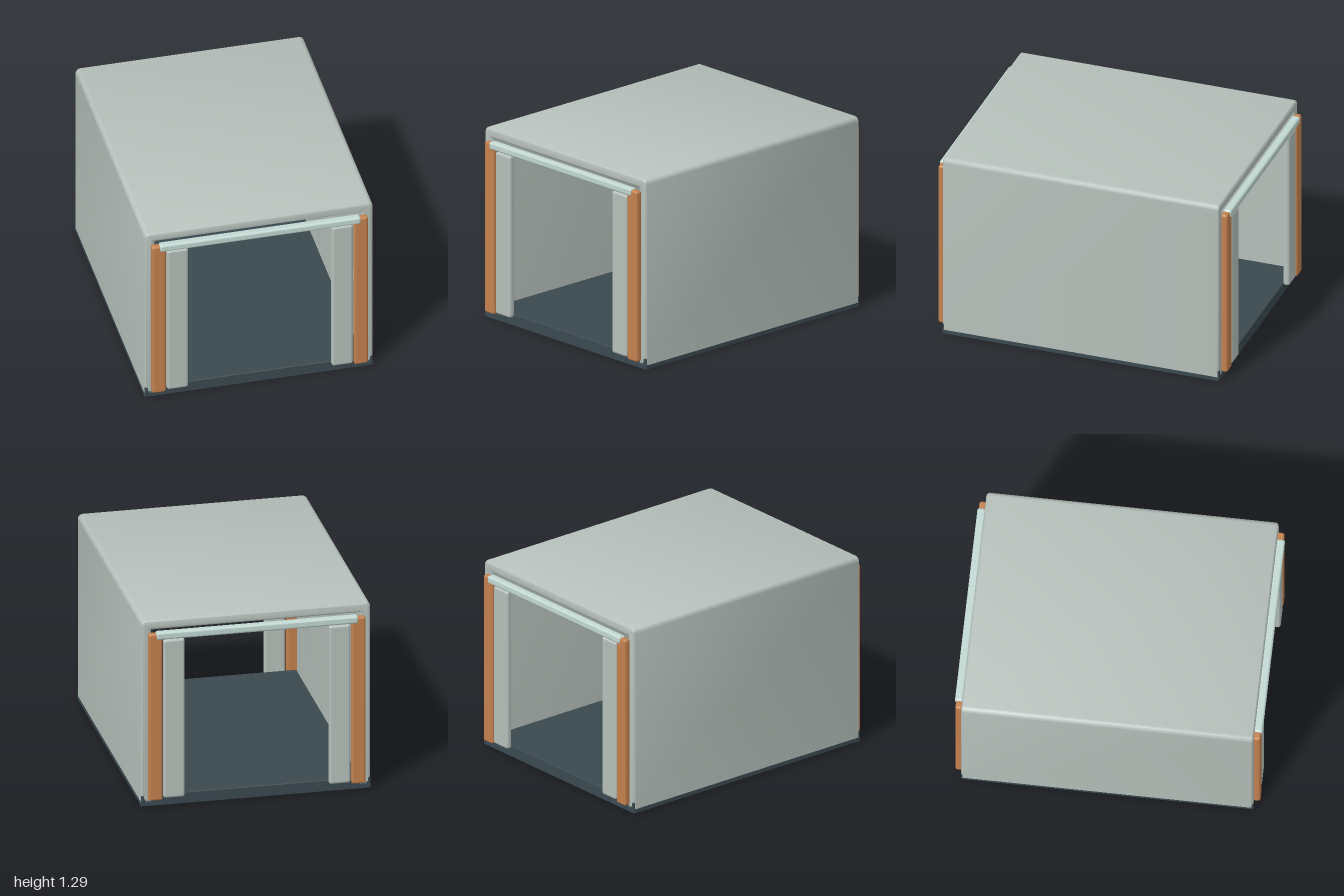
import * as THREE from 'three';
import { toCreasedNormals } from 'three/addons/utils/BufferGeometryUtils.js';
import { RoundedBoxGeometry } from 'three/addons/geometries/RoundedBoxGeometry.js';

const paint = (color) => new THREE.MeshStandardMaterial({ color });

export function createModel() {
  const model = new THREE.Group();
  const grey = paint(0xb6c0bb), dark = paint(0x3a494f);
  const orange = paint(0xc4814e), pale = paint(0xc2d8d2);

  // Rounded box given by its min and max corners
  function block(name, material, [x0, y0, z0], [x1, y1, z1], radius, parent = model) {
    const geometry = new RoundedBoxGeometry(x1 - x0, y1 - y0, z1 - z0, 3, radius);
    const mesh = new THREE.Mesh(geometry, material);
    mesh.position.set((x0 + x1) / 2, (y0 + y1) / 2, (z0 + z1) / 2);
    mesh.name = name;
    parent.add(mesh);
    return mesh;
  }

  // Shell: two walls and a roof, swept front to back with softened edges
  const W = 0.76, H = 1.295, B = 0.03, R = 0.035, IN = 0.69, CEIL = 1.225;
  const profile = new THREE.Shape();
  profile.moveTo(-W, B);
  profile.lineTo(-IN, B);
  profile.lineTo(-IN, CEIL);
  profile.lineTo(IN, CEIL);
  profile.lineTo(IN, B);
  profile.lineTo(W, B);
  profile.lineTo(W, H - R);
  profile.absarc(W - R, H - R, R, 0, Math.PI / 2, false);
  profile.absarc(-W + R, H - R, R, Math.PI / 2, Math.PI, false);
  profile.closePath();
  const bevel = 0.02, length = 1.9;
  const shellGeometry = new THREE.ExtrudeGeometry(profile, {
    depth: length - 2 * bevel, bevelThickness: bevel, bevelSize: bevel,
    bevelOffset: -bevel, bevelSegments: 4, curveSegments: 6,
  });
  shellGeometry.translate(0, 0, -length / 2 + bevel);
  const shell = new THREE.Mesh(toCreasedNormals(shellGeometry, 0.7), grey);
  shell.name = 'shell';
  model.add(shell);

  // Floor tray, with a groove along each side that the walls stand in
  block('floor', dark, [-IN, 0, -0.95], [IN, 0.078, 0.95], 0.005);
  for (const s of [-1, 1]) {
    const x = s * 0.744;
    block('trayLip', dark, [x - 0.014, 0, -0.95], [x + 0.014, 0.078, 0.95], 0.008);
    // Cover strip under the wall's lower edge
    block('traySill', dark, [x - 0.016, 0, -0.948], [x + 0.016, 0.032, 0.948], 0.004);
    for (const e of [-1, 1])
      block('grooveEnd', dark, [s * 0.71 - 0.03, 0, e * 0.937 - 0.012],
        [s * 0.71 + 0.03, 0.032, e * 0.937 + 0.012], 0.004);
  }

  // The same door frame at both ends
  for (const e of [1, -1]) {
    const frame = new THREE.Group();
    frame.name = e > 0 ? 'frontFrame' : 'backFrame';
    for (const s of [-1, 1]) {
      const post = s * 0.672, jamb = s * 0.548;
      block('post', orange, [post - 0.046, 0.05, 0.945], [post + 0.046, 1.212, 0.992], 0.015, frame);
      block('jamb', grey, [jamb - 0.071, 0.06, 0.945], [jamb + 0.071, 1.165, 0.99], 0.018, frame);
    }
    block('lintel', pale, [-0.668, 1.17, 0.945], [0.668, 1.222, 1], 0.015, frame);
    if (e < 0) frame.rotation.y = Math.PI;
    model.add(frame);
  }

  // Small box on the inner left wall, behind the front jamb
  block('wallBox', grey, [0.612, 0.47, 0.78], [0.695, 0.66, 0.88], 0.008);

  return model;
}
